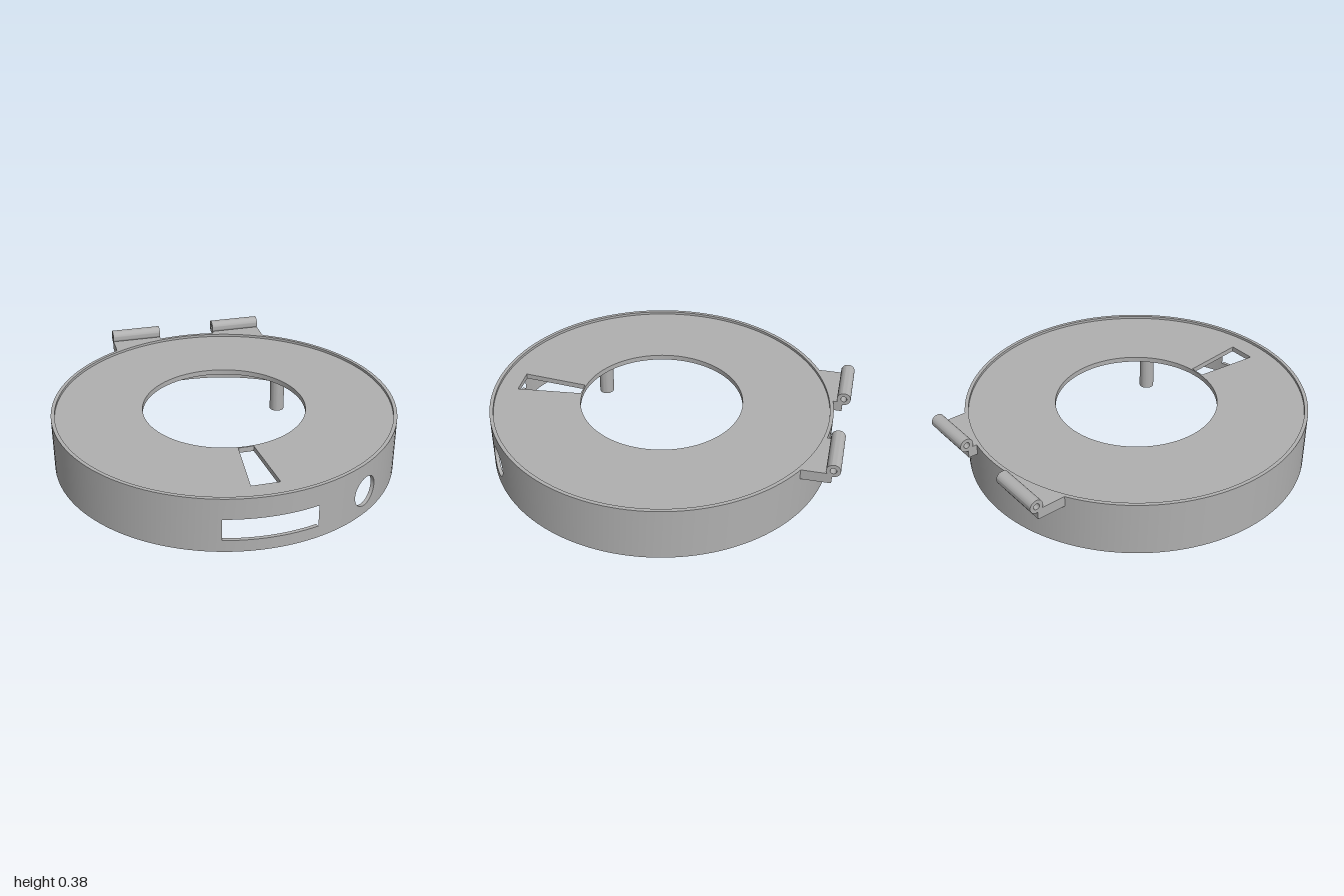
import * as THREE from 'three';
import { toCreasedNormals } from 'three/addons/utils/BufferGeometryUtils.js';

const CZ = 0.04;                     // ring centre in z
const RO = 0.96, RI = 0.94;          // wall radii
const Y0 = 0.015, Y1 = 0.325;        // wall bottom and top
const PLATE_BOTTOM = 0.28, PLATE_TOP = 0.31;
const CREASE = 0.5;

// Curved wall made of angular spans; a span may carry an opening from lo(a) to hi(a)
function wallGeometry(spans) {
  const pos = [];
  const pt = (r, a, y) => [r * Math.sin(a), y, CZ + r * Math.cos(a)];
  const quad = (a, b, c, d) => pos.push(...a, ...b, ...c, ...a, ...c, ...d);
  const band = (a, b, la, lb, ha, hb) => {
    quad(pt(RO, a, la), pt(RO, b, lb), pt(RO, b, hb), pt(RO, a, ha));   // outside
    quad(pt(RI, b, lb), pt(RI, a, la), pt(RI, a, ha), pt(RI, b, hb));   // inside
    quad(pt(RO, a, ha), pt(RO, b, hb), pt(RI, b, hb), pt(RI, a, ha));   // upper edge
    quad(pt(RI, a, la), pt(RI, b, lb), pt(RO, b, lb), pt(RO, a, la));   // lower edge
  };
  for (const { angles, lo, hi, jambs } of spans) {
    for (let i = 0; i < angles.length - 1; i++) {
      const a = angles[i], b = angles[i + 1];
      if (!lo) { band(a, b, Y0, Y0, Y1, Y1); continue; }
      band(a, b, Y0, Y0, lo(a), lo(b));
      band(a, b, hi(a), hi(b), Y1, Y1);
    }
    if (jambs) {
      const a = angles[0], b = angles[angles.length - 1];
      quad(pt(RO, a, lo(a)), pt(RO, a, hi(a)), pt(RI, a, hi(a)), pt(RI, a, lo(a)));
      quad(pt(RI, b, lo(b)), pt(RI, b, hi(b)), pt(RO, b, hi(b)), pt(RO, b, lo(b)));
    }
  }
  const g = new THREE.BufferGeometry();
  g.setAttribute('position', new THREE.Float32BufferAttribute(pos, 3));
  g.computeVertexNormals();
  return toCreasedNormals(g, CREASE);
}

function steps(a0, a1, n) {
  return Array.from({ length: n + 1 }, (_, i) => a0 + (a1 - a0) * i / n);
}

function extrude(shape, depth, curveSegments = 24) {
  return toCreasedNormals(
    new THREE.ExtrudeGeometry(shape, { depth, bevelEnabled: false, curveSegments }), CREASE);
}

// Hollow round bar along +z
function tube(ro, ri, length) {
  const s = new THREE.Shape().absarc(0, 0, ro, 0, Math.PI * 2);
  s.holes.push(new THREE.Path().absarc(0, 0, ri, 0, Math.PI * 2, true));
  return extrude(s, length);
}

export function createModel() {
  const group = new THREE.Group();
  const grey = new THREE.MeshStandardMaterial({ color: 0xb0b0b0 });
  grey.name = 'grey';
  const add = (name, geometry, x = 0, y = 0, z = 0) => {
    const m = new THREE.Mesh(geometry, grey);
    m.name = name;
    m.position.set(x, y, z);
    group.add(m);
    return m;
  };

  // Outer wall with a rectangular window and a round port
  const w = Math.asin(0.248 / RO);
  const portA = 0.605, portR = 0.086, portY = 0.155;
  const half = portR / RO;
  const p0 = portA - half, p1 = portA + half;
  const rise = a => portR * Math.sqrt(Math.max(0, 1 - ((a - portA) / half) ** 2));
  const portAngles = steps(0, Math.PI, 28).map(t => portA - half * Math.cos(t));
  add('wall', wallGeometry([
    { angles: steps(-w, w, 16), lo: () => 0.083, hi: () => 0.206, jambs: true },
    { angles: steps(w, p0, 8) },
    { angles: portAngles, lo: a => portY - rise(a), hi: a => portY + rise(a) },
    { angles: steps(p1, Math.PI * 2 - w, 120) },
  ]));

  // Recessed top plate with a central hole and a tapered slot (shape y is -z)
  const plate = new THREE.Shape().absarc(0, 0, 0.945, 0, Math.PI * 2);
  plate.holes.push(new THREE.Path().absarc(0, 0, 0.456, 0, Math.PI * 2, true));
  plate.holes.push(new THREE.Path([
    [-0.042, 0.503], [0.042, 0.503], [0.077, 0.866], [-0.077, 0.866],
  ].map(([x, z]) => new THREE.Vector2(x, CZ - z))));
  add('topPlate', extrude(plate, PLATE_TOP - PLATE_BOTTOM, 72).rotateX(-Math.PI / 2), 0, PLATE_BOTTOM, CZ);

  // Four hollow standoffs under the plate
  for (const sx of [-1, 1]) for (const sz of [-1, 1]) {
    add('standoff', tube(0.043, 0.018, PLATE_BOTTOM + 0.005).rotateX(-Math.PI / 2),
      sx * 0.456, 0, CZ + sz * 0.456);
  }

  // Two hinges at the back: a bracket fitted to the wall, and a barrel
  const x0 = 0.172, x1 = 0.47, r = 0.95;
  for (const side of [-1, 1]) {
    const s = new THREE.Shape();
    const inner = steps(x0, x1, 12).map(x => [x, Math.sqrt(r * r - x * x)]);
    const pts = [[x1, 0.957 + CZ], [x0, 0.957 + CZ], ...inner];
    s.setFromPoints(pts.map(([x, y]) => new THREE.Vector2(side * x, y)));
    add('hingeBracket', extrude(s, 0.06).rotateX(-Math.PI / 2), 0, 0.265, CZ);
    add('hingeBarrel', tube(0.038, 0.017, x1 - x0).rotateY(Math.PI / 2),
      side > 0 ? x0 : -x1, 0.346, -0.962);
  }
  return group;
}
